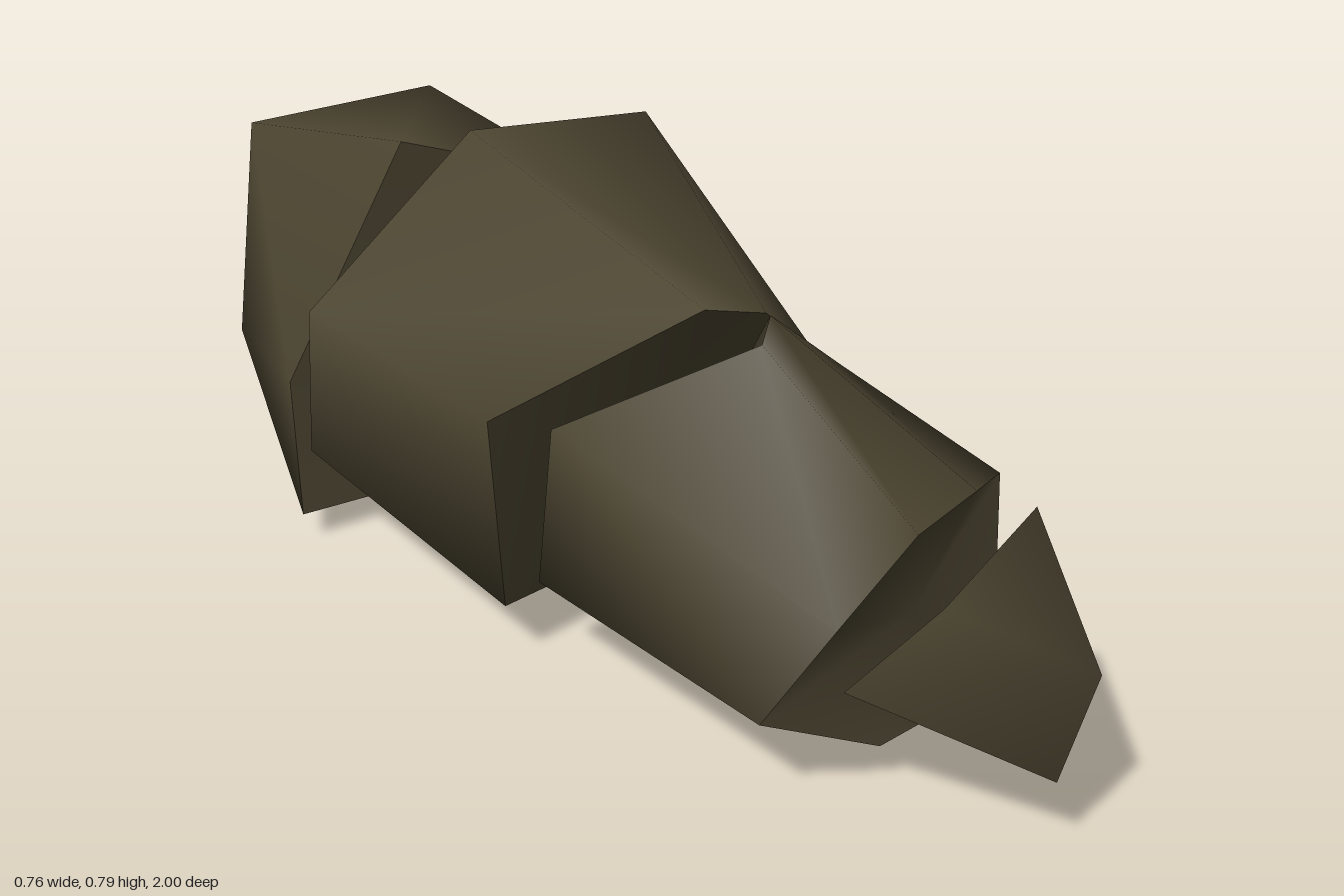
import * as THREE from 'three';

// Four lofted body segments. Rings run front to rear, counter-clockwise seen from the front;
// a ring of one point closes that end, other ends get a sharp-edged cap.
const SEGMENTS = {
  tipSegment: {
    rings: [
      [[0.01, 0.34, 1.0]],
      [[0.07, 0.505, 0.81], [-0.17, 0.455, 0.86], [-0.225, 0.27, 0.73], [-0.04, 0.167, 0.98], [0.165, 0.255, 0.76]],
    ],
    rearCentre: [0, 0.17, 0.69],
  },
  foreSegment: {
    rings: [
      [[-0.1, 0.49, 0.74], [-0.2, 0.34, 0.685], [-0.295, 0.19, 0.63], [-0.1, 0.095, 0.69],
        [0.15, 0.1, 0.69], [0.185, 0.445, 0.64], [0.1, 0.458, 0.67]],
      [[-0.095, 0.66, 0.4], [-0.325, 0.505, 0.18], [-0.295, 0.18, 0.1], [-0.04, 0.12, 0.09],
        [0.23, 0.118, 0.09], [0.27, 0.435, 0.2], [0.1, 0.58, 0.21]],
    ],
  },
  middleSegment: {
    flip: true,
    rings: [
      [[-0.095, 0.67, 0.27], [-0.38, 0.5, 0.09], [-0.335, 0.13, 0.06], [-0.04, 0.083, -0.01],
        [0.23, 0.115, -0.02], [0.27, 0.435, 0.14], [0.1, 0.58, 0.2]],
      [[-0.11, 0.795, -0.31], [-0.38, 0.5, -0.42], [-0.36, 0.2, -0.48], [-0.04, 0.15, -0.42],
        [0.23, 0.17, -0.41], [0.32, 0.455, -0.35], [0.28, 0.733, -0.32]],
    ],
  },
  rearSegment: {
    rings: [
      [[0.24, 0.58, -0.445], [-0.15, 0.74, -0.46], [-0.375, 0.33, -0.51], [-0.375, 0.065, -0.5],
        [0, 0.058, -0.45], [0.265, 0.003, -0.435], [0.38, 0.3, -0.42]],
      [[0.24, 0.62, -0.94], [-0.2, 0.665, -0.88], [-0.28, 0.28, -0.84], [0, 0.01, -0.665],
        [0.05, 0.05, -0.73], [0.1, 0.1, -0.8], [0.24, 0.27, -0.85]],
      [[0.1, 0.56, -0.97], [-0.12, 0.58, -0.95], [-0.17, 0.38, -0.93], [-0.1, 0.25, -0.9],
        [-0.04, 0.23, -0.915], [0.02, 0.24, -0.925], [0.1, 0.37, -0.95]],
      [[-0.05, 0.49, -1.0]],
    ],
  },
};

function centroid(ring) {
  return [0, 1, 2].map((k) => ring.reduce((sum, p) => sum + p[k], 0) / ring.length);
}

function loft({ rings, flip = false, rearCentre }) {
  const points = [];
  const index = [];
  const sides = Math.max(...rings.map((r) => r.length));
  const addRing = (ring) => {
    const base = points.length;
    points.push(...ring);
    return (i) => base + (i % ring.length);
  };
  const tri = (a, b, c) => {
    if (a !== b && b !== c && c !== a) index.push(a, b, c);
  };

  // smooth sides; flip picks the other diagonal of each quad
  const at = rings.map(addRing);
  for (let r = 0; r + 1 < rings.length; r++) {
    const a = at[r], b = at[r + 1];
    for (let i = 0; i < sides; i++) {
      tri(a(i), b(i), flip ? b(i + 1) : a(i + 1));
      tri(flip ? a(i) : a(i + 1), flip ? b(i + 1) : b(i), flip ? a(i + 1) : b(i + 1));
    }
  }

  // end caps with their own corners, so the rims stay sharp
  const addCap = (ring, centre, step) => {
    if (ring.length === 1) return;
    const rim = addRing(ring);
    const hub = addRing([centre])(0);
    for (let i = 0; i < sides; i++) {
      if (step > 0) tri(hub, rim(i), rim(i + 1));
      else tri(hub, rim(i + 1), rim(i));
    }
  };
  const last = rings[rings.length - 1];
  addCap(rings[0], centroid(rings[0]), 1);
  addCap(last, rearCentre ?? centroid(last), -1);

  const geometry = new THREE.BufferGeometry();
  geometry.setAttribute('position', new THREE.Float32BufferAttribute(points.flat(), 3));
  geometry.setIndex(index);
  geometry.computeVertexNormals();
  return geometry;
}

export function createModel() {
  const group = new THREE.Group();
  group.name = 'segmentedBody';
  const olive = new THREE.MeshStandardMaterial({ color: 0x4b4430 });
  olive.name = 'darkOlive';

  for (const [name, segment] of Object.entries(SEGMENTS)) {
    const mesh = new THREE.Mesh(loft(segment), olive);
    mesh.name = name;
    group.add(mesh);
  }
  return group;
}
